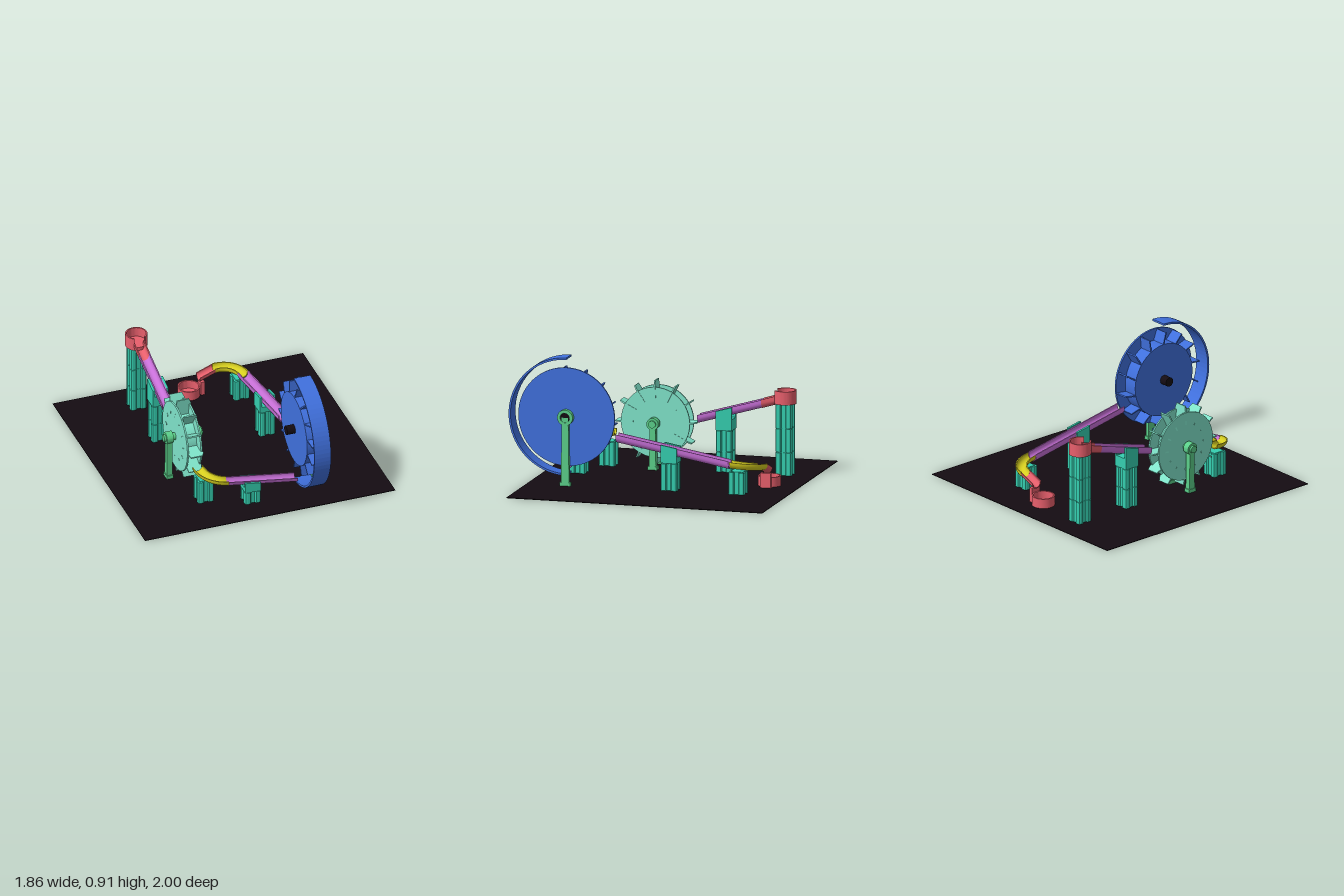
import * as THREE from 'three';
import { toCreasedNormals } from 'three/addons/utils/BufferGeometryUtils.js';

const mat = (color) => new THREE.MeshStandardMaterial({ color, side: THREE.DoubleSide });
const BLACK = mat(0x140c12), BLUE = mat(0x4070dd), MINT = mat(0x80e5cb), GREEN = mat(0x5bd08a);
const TEAL = mat(0x35cfb0), RED = mat(0xe85f6c), PURPLE = mat(0xc870d8), YELLOW = mat(0xd8d020);
const V = (x, y, z) => new THREE.Vector3(x, y, z);

function add(parent, name, geo, material, x = 0, y = 0, z = 0) {
  const m = new THREE.Mesh(geo, material);
  m.name = name;
  m.position.set(x, y, z);
  parent.add(m);
  return m;
}

function group(parent, name, x, y, z) {
  const g = new THREE.Group();
  g.name = name;
  g.position.set(x, y, z);
  parent.add(g);
  return g;
}

const box = (w, h, d) => new THREE.BoxGeometry(w, h, d);
const poly = (pts) => new THREE.Shape(pts.map(([x, y]) => new THREE.Vector2(x, y)));
const extrude = (shape, depth, curveSegments = 12) =>
  new THREE.ExtrudeGeometry(shape, { depth, bevelEnabled: false, curveSegments });
// Slab drawn in the (z, y) plane, centred on x = 0
const slab = (shape, depth, n) => extrude(shape, depth, n).translate(0, 0, -depth / 2).rotateY(-Math.PI / 2);
// Cylinder lying along x
const rod = (r, len) => new THREE.CylinderGeometry(r, r, len, 64).rotateZ(Math.PI / 2);

// U-shaped channel swept along points, kept upright
function channel(points, height, halfW = 0.041, wall = 0.008) {
  const sec = [], n = 10, top = height / 2, bend = Math.min(height, halfW);
  for (const [w, b, dir] of [[halfW, bend, 1], [halfW - wall, bend - wall, -1]]) {
    const mid = -top + bend;
    const arc = [[-w, top]];
    for (let i = 0; i <= n; i++) {
      const a = Math.PI * (1 + i / n);
      arc.push([w * Math.cos(a), mid + b * Math.sin(a)]);
    }
    arc.push([w, top]);
    sec.push(...(dir > 0 ? arc : arc.reverse()));
  }
  const pos = [], idx = [], k = sec.length, up = V(0, 1, 0), last = points.length - 1;
  points.forEach((p, i) => {
    const t = points[Math.min(i + 1, last)].clone().sub(points[Math.max(i - 1, 0)]);
    const side = up.clone().cross(t).normalize();
    for (const [u, v] of sec) pos.push(p.x + side.x * u, p.y + v, p.z + side.z * u);
  });
  for (let i = 0; i < last; i++) {
    for (let j = 0; j < k; j++) {
      const a = i * k + j, b = i * k + (j + 1) % k;
      idx.push(a, b, b + k, a, b + k, a + k);
    }
  }
  for (const [a, b, c] of THREE.ShapeUtils.triangulateShape(sec.map(([u, v]) => new THREE.Vector2(u, v)), [])) {
    idx.push(c, b, a, a + last * k, b + last * k, c + last * k);
  }
  const g = new THREE.BufferGeometry();
  g.setAttribute('position', new THREE.Float32BufferAttribute(pos, 3));
  g.setIndex(idx);
  return toCreasedNormals(g, 0.6);
}

// Quarter-turn path: centre, radii, start and end angle, start and end height
function turn(cx, cz, rx, rz, a0, a1, y0, y1) {
  return Array.from({ length: 15 }, (_, i) => {
    const t = i / 14, a = a0 + (a1 - a0) * t;
    return V(cx + rx * Math.cos(a), y0 + (y1 - y0) * t, cz + rz * Math.sin(a));
  });
}

// Square column outline with rounded corners and a groove in each side
function columnShape() {
  const pts = [], r = 0.058, c = 0.014;
  for (let q = 0; q < 4; q++) {
    const co = Math.round(Math.cos(q * Math.PI / 2)), si = Math.round(Math.sin(q * Math.PI / 2));
    for (const [x, y] of [[r - 0.012, -0.014], [r - 0.012, 0.014], [r, 0.022], [r, r - c],
      [r - c * 0.3, r - c * 0.3], [r - c, r], [0.022, r]]) pts.push([x * co - y * si, x * si + y * co]);
  }
  return poly(pts);
}

// Column of stacked blocks; an optional cradle holds a sloping channel
function pillar(parent, x, z, height, cradle) {
  const g = group(parent, 'pillar', x, 0, z), blocks = Math.max(1, Math.round(height / 0.15)), h = height / blocks;
  for (let i = 0; i < blocks; i++) {
    add(g, 'pillarBlock', extrude(columnShape(), h - 0.004).rotateX(-Math.PI / 2), TEAL, 0, i * h, 0);
    add(g, 'pillarSeam', box(0.088, 0.004, 0.088), TEAL, 0, (i + 1) * h - 0.002, 0);
  }
  if (!cradle) return;
  const { floor, top, slope, alongZ } = cradle, s = 0.058;
  add(g, 'cradleBase', box(2 * s, floor - height, 2 * s), TEAL, 0, (floor + height) / 2, 0);
  const cheek = poly([[-s, height], [s, height], [s, top + slope * s], [-s, top - slope * s]]);
  for (const off of [-s, s - 0.016]) add(g, 'cradleCheek', extrude(cheek, 0.016), TEAL, 0, 0, off);
  if (alongZ) g.rotation.y = -Math.PI / 2;
}

// Upright bearing leg with a round eye and a foot
function bearingLeg(parent, x, z, axleY, eye, depth, halfW) {
  const g = group(parent, 'bearingLeg', x, 0, z);
  const leg = poly([[-halfW * 1.15, 0], [halfW * 1.15, 0], [halfW * 0.9, axleY], [-halfW * 0.9, axleY]]);
  add(g, 'leg', slab(leg, depth * 0.8), GREEN);
  add(g, 'foot', box(depth, 0.03, halfW * 3), GREEN, 0, 0.015, 0);
  const ring = new THREE.Shape().absarc(0, 0, eye, 0, Math.PI * 2);
  ring.holes.push(new THREE.Path().absarc(0, 0, eye * 0.62, 0, Math.PI * 2, true));
  add(g, 'eye', toCreasedNormals(slab(ring, depth, 24), 0.6), GREEN, 0, axleY, 0);
}

// Round wall with a floor; gap leaves an opening towards +z
function cup(parent, name, x, y, z, r, h, floor, gap = 0) {
  const g = group(parent, name, x, y, z);
  add(g, 'cupFloor', new THREE.CylinderGeometry(r, r, floor, 48), RED, 0, floor / 2, 0);
  const wall = [[r - 0.01, floor], [r, floor], [r, h], [r - 0.01, h], [r - 0.01, floor]].map(([a, b]) => new THREE.Vector2(a, b));
  add(g, 'cupWall', toCreasedNormals(new THREE.LatheGeometry(wall, 48, gap, Math.PI * 2 - 2 * gap), 0.6), RED);
}

// Plates standing out around a wheel, tapered at the tip
function paddles(parent, count, r0, r1, w0, w1, tilt, material) {
  const shape = poly([[-w0, r0], [w0, r0], [w0, r1 - 0.035], [w1, r1], [-w1, r1]]);
  for (let i = 0; i < count; i++) {
    const pivot = group(parent, 'paddle', 0, 0, 0);
    pivot.rotation.x = i * Math.PI * 2 / count;
    const geo = extrude(shape, 0.01).translate(0, -r0, -0.005).rotateX(tilt).translate(0, r0, 0);
    add(pivot, 'paddlePlate', geo, material);
  }
}

export function createModel() {
  const model = new THREE.Group();
  model.name = 'marbleRun';
  add(model, 'basePlate', box(1.86, 0.005, 1.86), BLACK, 0, 0.0025, -0.07);

  // Start tower and first channel
  pillar(model, -0.39, -0.78, 0.51);
  cup(model, 'startBowl', -0.39, 0.51, -0.78, 0.078, 0.095, 0.025, 0.52);
  add(model, 'startSpout', channel([V(-0.39, 0.535, -0.73), V(-0.39, 0.5, -0.615)], 0.065), RED);
  add(model, 'firstChannel', channel([V(-0.39, 0.5, -0.615), V(-0.39, 0.365, -0.15)], 0.06), PURPLE);
  pillar(model, -0.39, -0.347, 0.3, { floor: 0.38, top: 0.45, slope: -0.29, alongZ: true });

  // Small paddle wheel
  const small = group(model, 'paddleWheel', -0.39, 0.33, 0.15);
  for (const s of [-1, 1]) add(small, 'wheelDisc', rod(0.25, 0.012), MINT, s * 0.05, 0, 0);
  add(small, 'wheelDrum', rod(0.17, 0.1), MINT);
  paddles(small, 12, 0.16, 0.295, 0.059, 0.045, 0.06, MINT);
  add(small, 'axle', rod(0.026, 0.285), GREEN);
  for (const s of [-1, 1]) bearingLeg(model, -0.388 + s * 0.105, 0.15, 0.33, 0.043, 0.05, 0.022);

  // Front turn and front channel
  add(model, 'frontTurn', channel(turn(-0.23, 0.455, 0.16, 0.165, Math.PI, Math.PI / 2, 0.23, 0.188), 0.045), YELLOW);
  pillar(model, -0.36, 0.495, 0.18);
  add(model, 'frontChannel', channel([V(-0.23, 0.185, 0.62), V(0.28, 0.105, 0.62)], 0.042), PURPLE);
  pillar(model, -0.058, 0.62, 0.1, { floor: 0.135, top: 0.172, slope: -0.157 });

  // Large lifting wheel with its outer guard
  const big = group(model, 'liftingWheel', 0.34, 0.49, 0.58);
  add(big, 'outerDisc', rod(0.35, 0.014), BLUE, 0.052, 0, 0);
  add(big, 'drum', rod(0.265, 0.105), BLUE, -0.0075, 0, 0);
  paddles(big, 14, 0.255, 0.348, 0.056, 0.05, 0.35, BLUE);
  add(big, 'axle', rod(0.033, 0.215), BLACK, -0.013, 0, 0);
  const guard = new THREE.Shape();
  guard.absarc(0, 0, 0.42, -Math.PI / 2, Math.PI / 2);
  guard.absarc(0, 0, 0.406, Math.PI / 2, -Math.PI / 2, true);
  add(big, 'outerGuard', slab(guard, 0.122, 20), BLUE);
  bearingLeg(model, 0.422, 0.58, 0.49, 0.056, 0.034, 0.026);

  // Return channel, back turn and finish cup
  add(model, 'returnChannel', channel([V(0.335, 0.348, 0.23), V(0.335, 0.205, -0.59)], 0.06), PURPLE);
  pillar(model, 0.337, -0.16, 0.2, { floor: 0.245, top: 0.318, slope: 0.175, alongZ: true });
  add(model, 'backTurn', channel(turn(0.185, -0.595, 0.15, 0.185, 0, -Math.PI / 2, 0.205, 0.172), 0.05), YELLOW);
  pillar(model, 0.33, -0.65, 0.165);
  add(model, 'finishSpout', channel([V(0.185, 0.17, -0.78), V(0.07, 0.125, -0.78)], 0.045), RED);
  add(model, 'finishSupport', box(0.028, 0.11, 0.075), RED, 0.092, 0.055, -0.78);
  cup(model, 'finishCup', 0, 0, -0.78, 0.08, 0.075, 0.012);
  return model;
}
